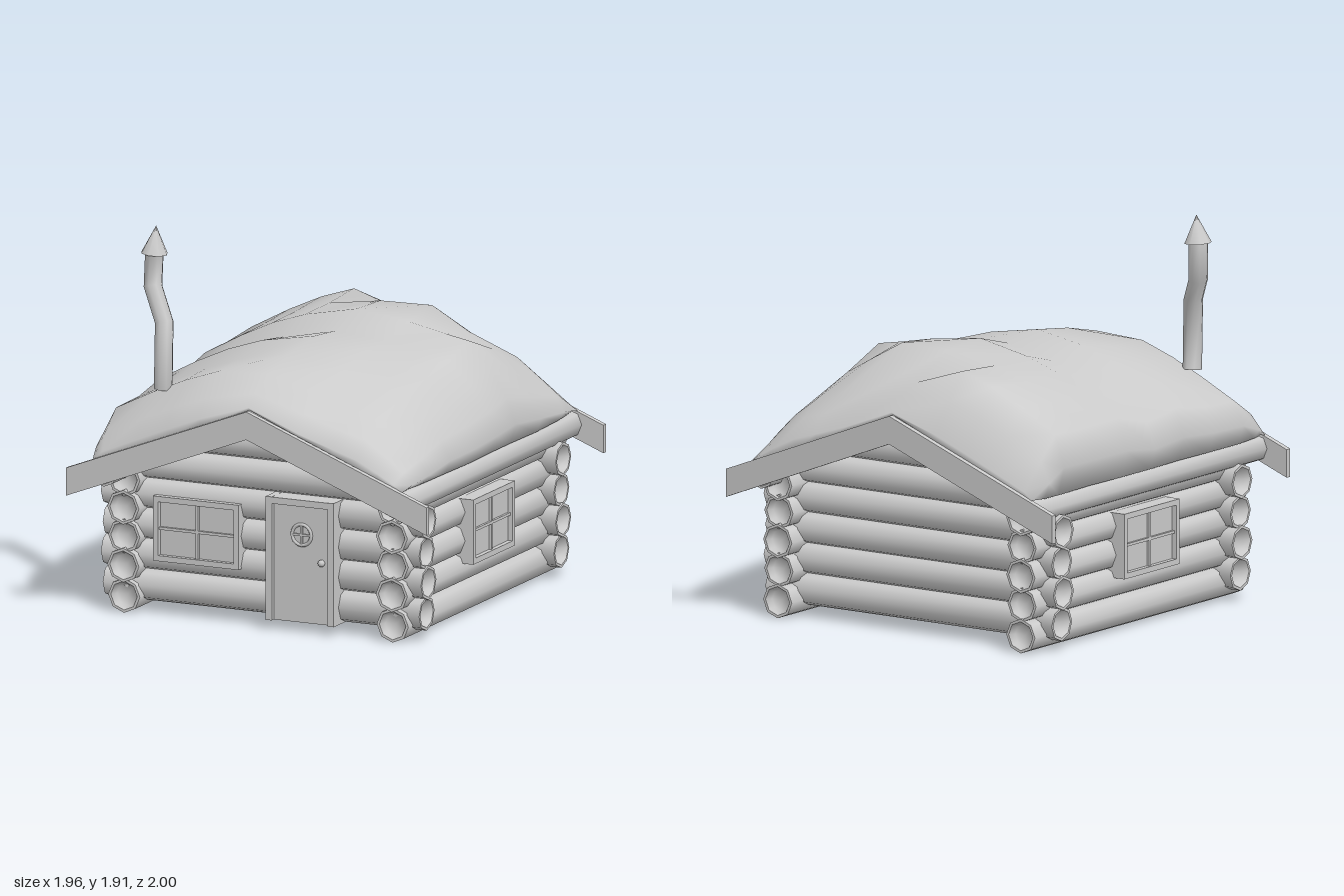
import * as THREE from 'three';
import { toCreasedNormals } from 'three/addons/utils/BufferGeometryUtils.js';

const V = (x, y, z) => new THREE.Vector3(x, y, z);

export function createModel() {
  const model = new THREE.Group();
  const material = new THREE.MeshStandardMaterial({ color: 0xcccccc });
  const thin = new THREE.MeshStandardMaterial({ color: 0xcccccc, side: THREE.DoubleSide });

  function add(parent, name, geometry, x = 0, y = 0, z = 0, mat = material) {
    const mesh = new THREE.Mesh(geometry, mat);
    mesh.name = name;
    mesh.position.set(x, y, z);
    parent.add(mesh);
    return mesh;
  }
  const box = (parent, name, w, h, d, x, y, z) =>
    add(parent, name, new THREE.BoxGeometry(w, h, d), x, y, z);
  function group(name, parent = model) {
    const g = new THREE.Group();
    g.name = name;
    parent.add(g);
    return g;
  }

  // Eight-sided log along y with hollowed ends
  function logGeometry(half, r = 0.086) {
    const end = [[r, half], [r * 0.84, half], [r * 0.62, half - 0.03], [0, half - 0.045]];
    const profile = [...end.map(([x, y]) => [x, -y]).reverse(), ...end];
    const lathe = new THREE.LatheGeometry(profile.map(p => new THREE.Vector2(...p)), 8);
    return toCreasedNormals(lathe, 0.9);
  }

  // Log walls: side logs run along z, front and back logs along x
  const walls = group('logWalls');
  const sideLog = logGeometry(0.89).rotateX(Math.PI / 2);
  for (const s of [-1, 1]) {
    [0.086, 0.24, 0.385, 0.53, 0.67].forEach((y, i) =>
      add(walls, 'sideLog', sideLog, s * 0.73, y, i % 2 ? -0.015 : -0.025));
    for (const [y, half] of [[0.135, 0.86], [0.29, 0.87], [0.44, 0.86], [0.595, 0.87], [0.745, 0.7], [0.9, 0.41]]) {
      add(walls, s > 0 ? 'frontLog' : 'backLog', logGeometry(half).rotateZ(Math.PI / 2), 0, y, s * 0.75);
    }
  }

  // Gabled roof: chevron cross-section, extruded along z
  const slope = 0.388;
  function chevron(halfWidth, low, high, depth) {
    const drop = halfWidth * slope;
    const shape = new THREE.Shape([
      [-halfWidth, low - drop], [0, low], [halfWidth, low - drop],
      [halfWidth, high - drop], [0, high], [-halfWidth, high - drop],
    ].map(p => new THREE.Vector2(...p)));
    return new THREE.ExtrudeGeometry(shape, { depth, bevelEnabled: false });
  }
  const roof = group('roof');
  add(roof, 'roofSlab', chevron(0.8, 0.98, 1.1, 1.94), 0, 0, -0.97);
  for (const s of [-1, 1]) {
    add(roof, 'bargeBoard', chevron(0.98, 0.97, 1.11, 0.03), 0, 0, s > 0 ? 0.97 : -1);
    add(roof, 'eave', logGeometry(0.97, 0.072).rotateX(Math.PI / 2), s * 0.79, 0.72, 0);
  }

  // Snow blanket: greatest cross-section over the roof, [x, y] from -x to +x
  const snowProfile = [
    [-0.78, 0.78], [-0.85, 0.78], [-0.88, 0.92], [-0.83, 1.08], [-0.63, 1.19], [-0.46, 1.27], [-0.28, 1.33],
    [0, 1.37], [0.28, 1.36], [0.48, 1.31], [0.61, 1.28], [0.73, 1.15], [0.82, 1.01], [0.87, 0.88], [0.84, 0.78], [0.78, 0.78],
  ];
  // [z, depth of snow at each station across the roof], from front to back
  const stations = [-0.28, 0, 0.28, 0.61];
  const snowSections = [
    [0.96, 0, 0, 0, 0], [0.975, 0.12, 0.06, 0.06, 0.12], [0.9, 0.38, 0.27, 0.28, 0.33],
    [0.74, 0.7, 0.52, 0.46, 0.48], [0.5, 0.73, 0.73, 0.67, 0.7], [0.25, 0.86, 0.86, 0.8, 0.75],
    [0, 0.76, 0.76, 0.78, 0.86], [-0.23, 0.95, 1, 0.93, 0.98], [-0.5, 0.95, 0.94, 1, 0.74],
    [-0.77, 1, 0.5, 0.45, 0.5], [-0.88, 0.6, 0.35, 0.3, 0.33], [-0.98, 0.12, 0.06, 0.06, 0.12], [-0.965, 0, 0, 0, 0],
  ];
  function fullness(x, values) {
    const i = stations.findIndex(s => x <= s);
    if (i === 0) return values[0];
    if (i < 0) return values[3];
    const t = (x - stations[i - 1]) / (stations[i] - stations[i - 1]);
    return THREE.MathUtils.lerp(values[i - 1], values[i], t);
  }
  const positions = [], index = [];
  const n = snowProfile.length;
  snowSections.forEach(([z, ...values], i) => {
    snowProfile.forEach(([x, y], j) => {
      const base = 1.11 - slope * Math.abs(x);
      const full = fullness(x, values);
      const width = 0.95 + 0.05 * Math.min(1, full * 1.8) + 0.008 * Math.sin(i * 2.1 + j * 0.7) * full;
      positions.push(x * width, base + (y - base) * full, z);
      if (i < snowSections.length - 1 && j < n - 1) {
        const a = i * n + j, b = a + 1, d = a + n, c = d + 1;
        index.push(a, b, c, a, c, d);
      }
    });
  });
  const snow = new THREE.BufferGeometry();
  snow.setAttribute('position', new THREE.Float32BufferAttribute(positions, 3));
  snow.setIndex(index);
  snow.computeVertexNormals();
  add(model, 'snowBlanket', snow, 0, 0, 0, thin);

  // Rectangular frame, its front face at z = 0
  function frameGeometry(w, h, border, depth) {
    const rect = (a, b) => [[-a, -b], [a, -b], [a, b], [-a, b]].map(p => new THREE.Vector2(...p));
    const shape = new THREE.Shape(rect(w / 2, h / 2));
    shape.holes.push(new THREE.Path(rect(w / 2 - border, h / 2 - border).reverse()));
    return new THREE.ExtrudeGeometry(shape, { depth, bevelEnabled: false }).translate(0, 0, -depth);
  }

  // Windows: one beside the door, one in each side wall
  function windowAt(x, y, z, turn) {
    const g = group('window');
    g.position.set(x, y, z);
    g.rotation.y = turn;
    add(g, 'windowFrame', frameGeometry(0.465, 0.325, 0.028, 0.12));
    box(g, 'glass', 0.41, 0.27, 0.07, 0, 0, -0.06);
    box(g, 'uprightBar', 0.014, 0.27, 0.016, 0, 0, -0.02);
    box(g, 'crossBar', 0.41, 0.014, 0.016, 0, 0, -0.02);
  }
  windowAt(-0.34, 0.44, 0.865, 0);
  windowAt(0.86, 0.433, 0, Math.PI / 2);
  windowAt(-0.865, 0.433, 0, -Math.PI / 2);

  // Door in a deep frame, with round window and knob
  const door = group('door');
  door.position.set(0.237, 0.05, 0.89);
  for (const s of [-1, 1]) box(door, 'doorJamb', 0.033, 0.62, 0.26, s * 0.168, 0.31, -0.13);
  box(door, 'doorLintel', 0.305, 0.033, 0.26, 0, 0.603, -0.13);
  box(door, 'doorPanel', 0.305, 0.587, 0.04, 0, 0.2935, -0.045);
  const porthole = group('roundWindow', door);
  porthole.position.set(0, 0.44, -0.022);
  add(porthole, 'ring', new THREE.TorusGeometry(0.052, 0.009, 6, 20));
  box(porthole, 'uprightBar', 0.01, 0.1, 0.01, 0, 0, 0);
  box(porthole, 'crossBar', 0.1, 0.01, 0.01, 0, 0, 0);
  add(door, 'knob', new THREE.SphereGeometry(0.018, 12, 8), 0.112, 0.31, -0.012);

  // Crooked stovepipe: rings mitred at each bend
  const path = [V(-0.578, 1.12, 0.74), V(-0.548, 1.46, 0.79), V(-0.675, 1.6, 0.655), V(-0.655, 1.79, 0.68)];
  const sides = 8;
  const pipe = new THREE.CylinderGeometry(0.048, 0.048, 1, sides, path.length - 1, true);
  const pos = pipe.attributes.position;
  path.forEach((p, i) => {
    const into = i > 0 ? p.clone().sub(path[i - 1]).normalize() : V(0, 0, 0);
    const out = i < path.length - 1 ? path[i + 1].clone().sub(p).normalize() : V(0, 0, 0);
    const turn = new THREE.Quaternion().setFromUnitVectors(V(0, 1, 0), into.add(out).normalize());
    // cylinder rows run from the top down
    const row = (path.length - 1 - i) * (sides + 1);
    for (let j = 0; j <= sides; j++) {
      const v = V(pos.getX(row + j), 0, pos.getZ(row + j)).applyQuaternion(turn).add(p);
      pos.setXYZ(row + j, v.x, v.y, v.z);
    }
  });
  const chimney = group('chimney');
  add(chimney, 'stovepipe', toCreasedNormals(pipe, 1.4), 0, 0, 0, thin);
  const cap = add(chimney, 'chimneyCap', new THREE.ConeGeometry(0.068, 0.14, 8), -0.652, 1.842, 0.677);
  cap.rotation.z = -0.07;

  return model;
}
